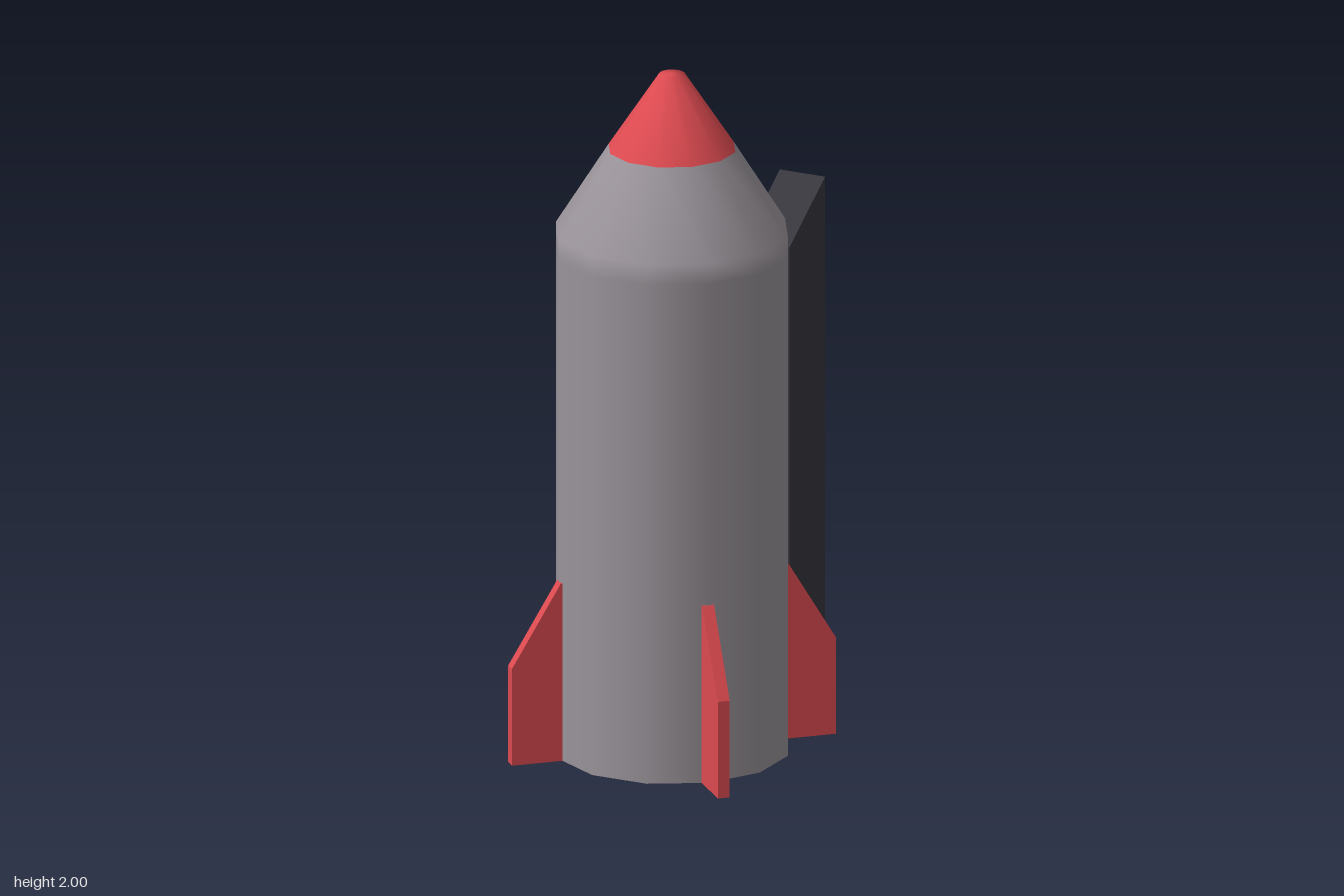
import * as THREE from 'three';

const SIDES = 12;
const TURN = Math.PI / 12;
const R = 0.333;

const paint = (color, options = {}) => new THREE.MeshStandardMaterial({ color, ...options });

function part(name, geometry, material) {
  const mesh = new THREE.Mesh(geometry, material);
  mesh.name = name;
  return mesh;
}

// Smooth twelve-sided turned shape with flat faces towards the axes
function turned(points) {
  const profile = points.map(([r, y]) => new THREE.Vector2(r, y));
  return new THREE.LatheGeometry(profile, SIDES, TURN, Math.PI * 2);
}

// Plate drawn as radius and height, thickened evenly about its plane
function plate(points, thickness) {
  const shape = new THREE.Shape(points.map(([r, y]) => new THREE.Vector2(r, y)));
  const geometry = new THREE.ExtrudeGeometry(shape, { depth: thickness, bevelEnabled: false });
  return geometry.translate(0, 0, -thickness / 2);
}

export function createModel() {
  const grey = paint(0x9a949a);
  const red = paint(0xdc4a50);
  const dark = paint(0x38373e);

  const model = new THREE.Group();
  model.name = 'rocketWithTower';
  const rocket = new THREE.Group();
  rocket.name = 'rocket';
  rocket.position.x = -0.135;
  model.add(rocket);

  // Hull with shoulder, and its base
  rocket.add(part('hull', turned([[R, 0.01], [R, 1.48], [R, 1.54], [0.182, 1.78]]), grey));
  const base = new THREE.CircleGeometry(R, SIDES, TURN).rotateX(Math.PI / 2).translate(0, 0.01, 0);
  rocket.add(part('hullBase', base, grey));

  // Nose cone with a blunt tip
  rocket.add(part('noseCone', turned([[0.182, 1.78], [0.036, 2], [0, 2]]), red));

  // Four fins
  const finGeometry = plate([[0.3, 0.01], [0.477, 0.01], [0.477, 0.295], [R, 0.533], [0.3, 0.533]], 0.035);
  for (let i = 0; i < 4; i++) {
    const fin = part('fin' + (i + 1), finGeometry, red);
    fin.rotation.y = -TURN + i * Math.PI / 2;
    rocket.add(fin);
  }

  // Launch tower with sloped top, joined to the hull by an arm
  const tower = new THREE.Group();
  tower.name = 'launchTower';
  tower.rotation.y = Math.PI / 6;
  tower.add(part('mast', plate([[0.582, 0], [0.799, 0], [0.799, 1.475], [0.582, 1.33]], 0.143), dark));
  const arm = part('arm', new THREE.BoxGeometry(0.3, 0.095, 0.112), dark);
  arm.position.set(0.45, 1.183, 0);
  tower.add(arm);
  rocket.add(tower);

  return model;
}
